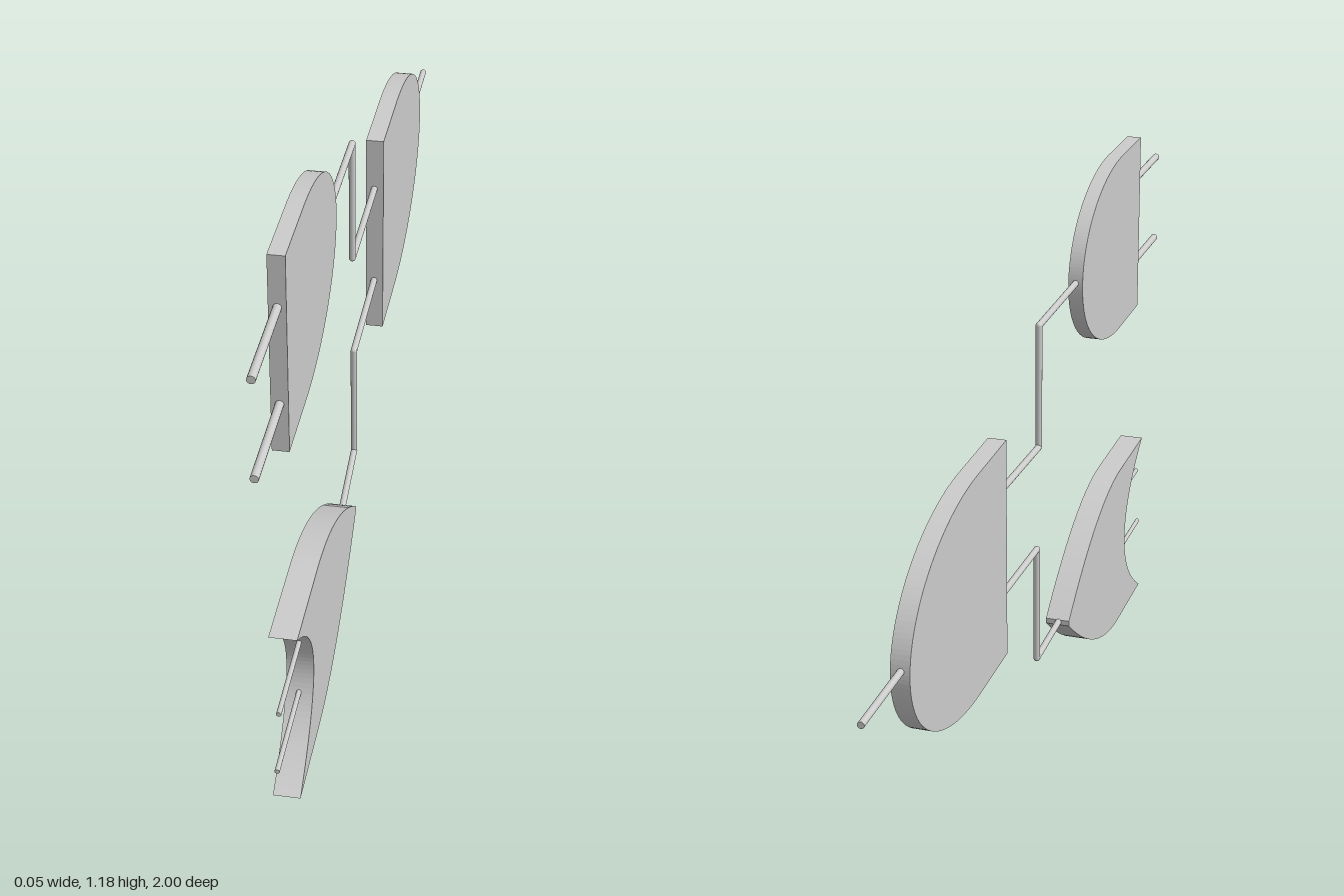
import * as THREE from 'three';

const material = new THREE.MeshStandardMaterial({ color: 0xcccccc });

// Plate cut from an outline drawn in (-z, y), spanning x0..x1
function plate(name, shape, x0, x1) {
  const geometry = new THREE.ExtrudeGeometry(shape, { depth: x1 - x0, bevelEnabled: false, curveSegments: 40 });
  geometry.translate(0, 0, x0);
  geometry.rotateY(Math.PI / 2);
  const mesh = new THREE.Mesh(geometry, material);
  mesh.name = name;
  return mesh;
}

// Flat back and half-ellipse nose
function roundNosePlate(name, zBack, zMid, zTip, y0, y1, x0, x1) {
  const shape = new THREE.Shape();
  shape.moveTo(-zBack, y0);
  shape.lineTo(-zMid, y0);
  shape.absellipse(-zMid, (y0 + y1) / 2, zMid - zTip, (y1 - y0) / 2, -Math.PI / 2, Math.PI / 2);
  shape.lineTo(-zBack, y1);
  shape.closePath();
  return plate(name, shape, x0, x1);
}

// Concave back and pointed nose
function pointedPlate(name) {
  const shape = new THREE.Shape();
  shape.moveTo(-0.86, 0);
  shape.lineTo(-0.65, 0);
  shape.quadraticCurveTo(-0.45, 0.005, -0.218, 0.2);
  shape.lineTo(-0.218, 0.212);
  shape.quadraticCurveTo(-0.45, 0.4, -0.65, 0.404);
  shape.lineTo(-0.86, 0.404);
  shape.bezierCurveTo(-0.655, 0.275, -0.655, 0.13, -0.86, 0);
  return plate(name, shape, -0.028, 0.026);
}

// Wire of straight round rods through [x, y, z] points, with rounded corners
function wire(name, radius, points) {
  const group = new THREE.Group();
  group.name = name;
  const p = points.map((a) => new THREE.Vector3(...a));
  for (let i = 0; i + 1 < p.length; i++) {
    const dir = p[i + 1].clone().sub(p[i]);
    const rod = new THREE.Mesh(new THREE.CylinderGeometry(radius, radius, dir.length(), 16), material);
    rod.name = 'wireRod';
    rod.position.copy(p[i]).addScaledVector(dir, 0.5);
    rod.quaternion.setFromUnitVectors(new THREE.Vector3(0, 1, 0), dir.normalize());
    group.add(rod);
    if (i > 0) {
      const corner = new THREE.Mesh(new THREE.SphereGeometry(radius, 16, 10), material);
      corner.name = 'wireCorner';
      corner.position.copy(p[i]);
      group.add(corner);
    }
  }
  return group;
}

export function createModel() {
  const model = new THREE.Group();
  model.name = 'logicCircuit';

  // Gate bodies
  model.add(
    roundNosePlate('upperAndGate', 0.785, 0.62, 0.302, 0.776, 1.183, -0.028, 0.004),
    roundNosePlate('outputAndGate', -0.238, -0.415, -0.805, 0.366, 0.84, -0.028, 0.01),
    pointedPlate('orGate'),
  );

  // Input leads
  for (const y of [1.079, 0.878]) {
    model.add(wire('upperInput', 0.008, [[-0.012, y, 1], [-0.012, y, 0.77]]));
  }
  model.add(
    wire('orInputUpper', 0.005, [[0.003, 0.283, 0.93], [0.003, 0.283, 0.71]]),
    wire('orInputLower', 0.005, [[-0.002, 0.142, 0.935], [-0.002, 0.142, 0.71]]),
  );

  // Stepped links into the output gate
  model.add(
    wire('upperLink', 0.007, [
      [-0.012, 0.985, 0.32], [-0.012, 0.982, 0.033], [-0.012, 0.713, 0.033], [-0.01, 0.722, -0.25],
    ]),
    wire('lowerLink', 0.007, [
      [-0.002, 0.206, 0.24], [-0.01, 0.214, 0.028], [-0.01, 0.478, 0.028], [-0.01, 0.488, -0.25],
    ]),
  );

  // Output lead
  model.add(wire('outputLead', 0.007, [[-0.01, 0.618, -0.79], [-0.01, 0.618, -1]]));
  return model;
}
